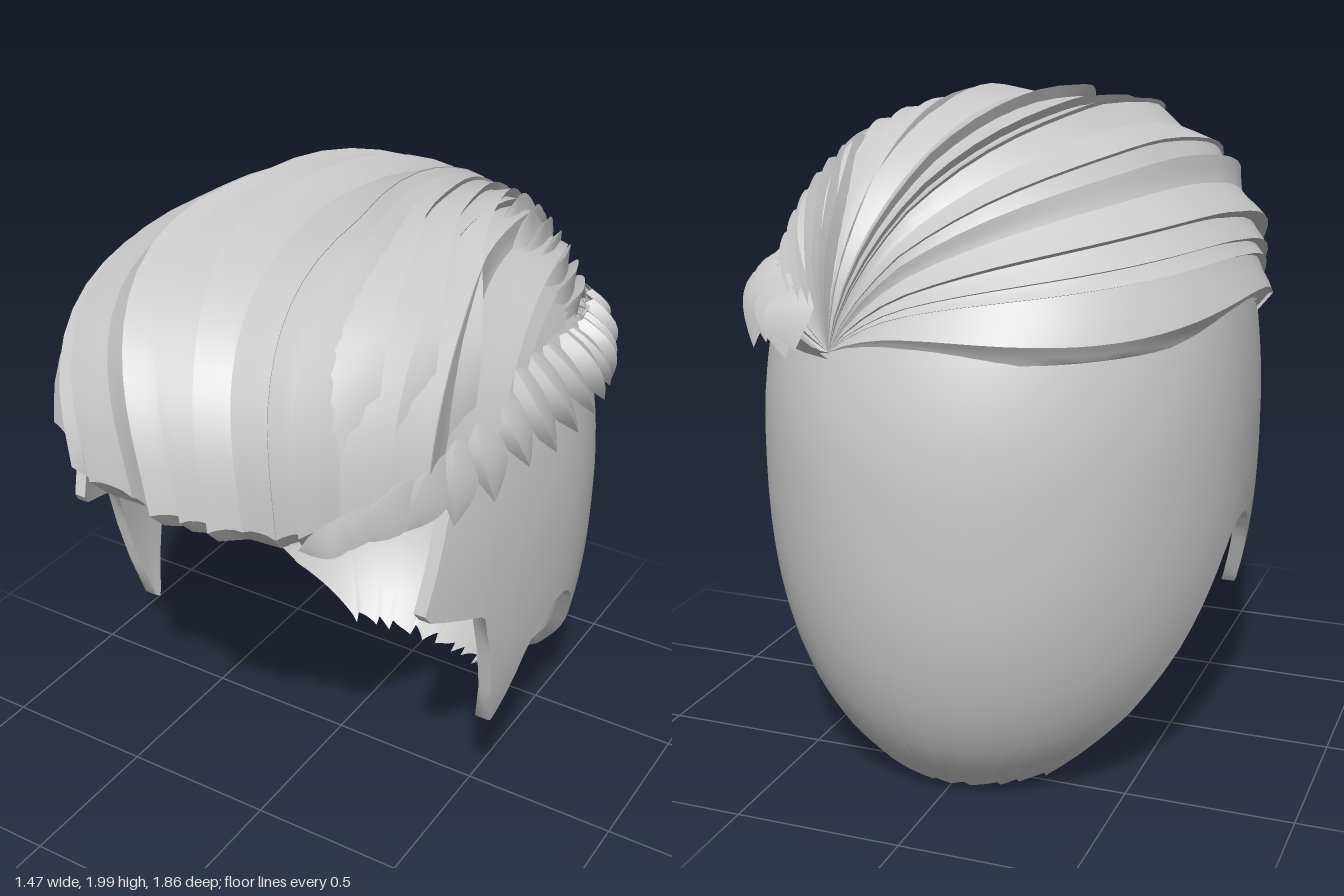
import * as THREE from 'three';
import { toCreasedNormals, mergeGeometries } from 'three/addons/utils/BufferGeometryUtils.js';

const V = (x, y, z) => new THREE.Vector3(x, y, z);
const P = (x, y) => new THREE.Vector2(x, y);
const { lerp, clamp } = THREE.MathUtils;
const hair = new THREE.MeshStandardMaterial({ color: 0xcccccc, side: THREE.DoubleSide });

let seed = 7;
const rand = () => (seed = (seed * 16807) % 2147483647) / 2147483647;

// Skin a list of cross-sections that all have the same number of points
function loft(sections, crease = 0.6) {
  const n = sections[0].length, index = [];
  for (let i = 0; i < sections.length - 1; i++)
    for (let j = 0; j < n - 1; j++) {
      const a = i * n + j, b = a + n;
      index.push(a, b, a + 1, b, b + 1, a + 1);
    }
  const g = new THREE.BufferGeometry().setFromPoints(sections.flat());
  g.setIndex(index);
  return toCreasedNormals(g, crease);
}

function part(name, geometries) {
  const mesh = new THREE.Mesh(mergeGeometries(geometries), hair);
  mesh.name = name;
  return mesh;
}

// Point on the close-cropped egg shape; angle 0 is the back
function eggPoint(angle, y, inset) {
  const over = Math.max(0, y - 1) ** 2;
  const g = y < 1 ? Math.pow(1 - Math.pow((1 - y) / 1.12, 2.6), 0.48) : 1;
  const c = Math.cos(angle);
  const depth = c > 0 ? 0.83 * Math.pow(g, 0.74) * (1 - 0.6 * over) - inset : 1.2;
  return V((0.73 * g * (1 - 0.33 * over) - inset) * Math.sin(angle), y, -0.1 - c * depth);
}

// Cropped back and sides, with ear cut-outs, sideburns and temple points
function croppedSides() {
  const hem = [[0.7, 0.06], [0.75, 0.09], [0.88, 0.17], [1.01, 0.25], [1.2, 0.43], [1.35, 0.61], [1.41, 0.68],
    [1.47, 0.73], [1.53, 0.755], [1.59, 0.76], [1.64, 0.75], [1.69, 0.715], [1.73, 0.65], [1.8, 0.46],
    [1.812, 0.44], [1.83, 0.455], [1.935, 0.92], [1.95, 0.935], [2.13, 1.01], [2.15, 1.04]];
  const half = [];
  for (let i = 0; i < 28; i++) {
    const a = i * 0.025;
    const tooth = (a * 6 + 0.25 * Math.sin(a * 14)) % 1;
    half.push([a, 0.005 + 0.035 * (a / 0.7) ** 2 + 0.03 * Math.abs(tooth)]);
  }
  hem.forEach(([a, y], i) => {
    const next = hem[i + 1];
    for (let k = 0; k < (next ? 3 : 1); k++)
      half.push(next ? [lerp(a, next[0], k / 3), lerp(y, next[1], k / 3)] : [a, y]);
  });
  const columns = [...half.slice(1).reverse().map(([a, y]) => [-a, y]), ...half];
  const rows = 16, top = 1.43;
  const section = ([a, y0], outerInset) => {
    const at = (k, inset) => {
      const f = k / rows;
      const lean = Math.max(0, Math.abs(a) - 1.7) * 0.28 * f;
      return eggPoint(a - Math.sign(a) * lean, lerp(y0, top, f), inset);
    };
    const points = [];
    for (let k = 0; k <= rows; k++) points.push(at(k, outerInset));
    for (let k = rows; k >= 0; k--) points.push(at(k, 0.045));
    points.push(points[0].clone());
    return points;
  };
  const sections = columns.map(c => section(c, 0));
  sections.unshift(section(columns[0], 0.045));
  sections.push(section(columns[columns.length - 1], 0.045));
  return part('croppedSides', [loft(sections, 0.7)]);
}

// Maps a unit disc (u to the left side, v to the front) onto the crown
function dome(u, v, lift = 0) {
  const d = Math.min(1, Math.hypot(u, v)), phi = Math.atan2(u, v);
  const s = Math.sin(phi), c = Math.cos(phi);
  const k = Math.pow(Math.abs(s) ** 2.4 + Math.abs(c) ** 2.4, -1 / 2.4);
  const n = 2.15 + 0.6 * Math.max(0, c), e = d * Math.PI / 2;
  const r = k * Math.pow(Math.sin(e), 2 / n);
  const h = Math.pow(Math.max(0, Math.cos(e)), 2 / n);
  const rim = 1.36 + 0.02 * Math.min(0, c) * d;
  const p = V(0.05 + (s > 0 ? 0.57 : 0.745) * s * r, rim + 0.605 * h, (c > 0 ? 0.89 : 0.86) * c * r);
  return p.addScaledVector(V(p.x - 0.05, p.y - 1.3, p.z).normalize(), lift);
}

// One lock on the crown between two disc curves; it rises to a sharp edge along the second
function strand(curveA, curveB, { base = 0, amp = 0.035, lip = false, tuck = false }) {
  const steps = 26, across = 4, sections = [];
  for (let i = 0; i <= steps; i++) {
    const t = i / steps, a = curveA(t), b = curveB(t);
    let grow = Math.min(1, t * 3.5);
    if (tuck) grow *= Math.min(1, (1 - t) * 7);
    const row = [];
    for (let j = 0; j <= across; j++) {
      const f = j / across;
      row.push(dome(lerp(a.x, b.x, f), lerp(a.y, b.y, f), grow * (base + amp * (f ** 1.3))));
    }
    row.push(dome(b.x, b.y, -0.02));
    if (base) row.unshift(dome(a.x, a.y, -0.02));
    sections.push(row);
  }
  if (lip) {
    // Fold the tip under the rim
    const last = sections[steps];
    sections.push(last.map(p => V(0.05 + (p.x - 0.05) * 0.94, 1.305, p.z * 0.94)));
    sections.push(last.map(p => V(0.05 + (p.x - 0.05) * 0.86, 1.315, p.z * 0.86)));
  }
  return loft(sections);
}

const whorlAngle = Math.PI - 0.36;
const whorl = P(Math.sin(whorlAngle), Math.cos(whorlAngle));
const bend = (...points) => {
  const curve = points.length === 3
    ? new THREE.QuadraticBezierCurve(...points) : new THREE.CubicBezierCurve(...points);
  return t => curve.getPoint(t);
};

// Long locks swept from the whorl, bowing out to the right side, then straight down the front
function sweptTop() {
  const count = 30, edges = [];
  for (let i = 0; i <= count; i++) {
    const jitter = i > 0 && i < count ? (rand() - 0.5) * 0.7 : 0;
    const f = (i + jitter) / count;
    const phi = lerp(-1.35, whorlAngle, f);
    const end = P(Math.sin(phi), Math.cos(phi));
    const middle = (whorlAngle - Math.PI * 2 + phi) / 2;
    const bow = P(Math.sin(middle), Math.cos(middle)).multiplyScalar(1.55);
    const control = whorl.clone().add(end).multiplyScalar(0.5).lerp(bow, Math.max(0, 1 - f / 0.68));
    const inward = end.clone().multiplyScalar(0.5);
    inward.x -= 0.1;
    const straighten = 0.75 * Math.min(1, f / 0.3) * (1 - f);
    edges.push(bend(whorl, whorl.clone().lerp(control, 2 / 3),
      end.clone().lerp(control, 2 / 3).lerp(inward, straighten), end));
  }
  const locks = [];
  for (let i = 0; i < count; i++) {
    const f = i / count, flip = rand() < 0.4;
    const amp = (0.018 + 0.03 * rand()) * (f > 0.6 ? 0.3 : 1);
    locks.push(strand(edges[flip ? i + 1 : i], edges[flip ? i : i + 1], { amp, lip: true }));
  }
  return part('sweptTop', locks);
}

// Short curved locks fanning out of the whorl below the parting
function whorlFan() {
  const count = 8, edges = [];
  for (let i = 0; i <= count; i++) {
    const f = i / count;
    const end = P(lerp(0.38, 0.82, f), lerp(-0.16, -0.4, f) + 0.06 * Math.sin(f * Math.PI));
    const control = P(lerp(0.17, 0.66, f), lerp(-0.5, -0.74, f));
    edges.push(bend(whorl, control, end));
  }
  return part('whorlFan', edges.slice(1).map((e, i) =>
    strand(e, edges[i], { base: 0.012, amp: 0.038, tuck: true })));
}

// Raised locks along the parting, overhanging the fan
function partingLocks() {
  const start = P(0.3, -0.84);
  const curve = f => bend(start, P(lerp(-0.16, 0.05, f), lerp(-0.2, -0.12, f)),
    P(lerp(0.5, 0.86, f), lerp(0.7, 0.3, f)));
  const locks = [0, 1, 2].map(i =>
    strand(curve(i / 3), curve((i + 1) / 3), { base: 0.008, amp: 0.02 + i * 0.008, tuck: true }));
  return part('partingLocks', locks);
}

// Inner lining of the crown
function lining() {
  const sections = [];
  for (let i = 0; i <= 48; i++) {
    const a = i / 48 * Math.PI * 2, row = [];
    for (let j = 0; j <= 12; j++) {
      const d = j / 12;
      const p = dome(Math.sin(a) * d, Math.cos(a) * d);
      row.push(V(0.05 + (p.x - 0.05) * 0.9, 1.33 + (p.y - 1.36) * 0.93, p.z * 0.9));
    }
    sections.push(row);
  }
  return part('lining', [loft(sections, 1.2)]);
}

// Row of leaf-shaped locks along the left side, over a backing strip
function sideFringe() {
  const top = new THREE.CatmullRomCurve3([V(0.46, 1.36, 0.73), V(0.56, 1.42, 0.5), V(0.58, 1.52, 0.25),
    V(0.58, 1.57, 0), V(0.59, 1.56, -0.25), V(0.57, 1.53, -0.45), V(0.5, 1.53, -0.64), V(0.34, 1.48, -0.81)]);
  const bottom = new THREE.CatmullRomCurve3([V(0.36, 1.3, 0.8), V(0.58, 1.3, 0.57), V(0.69, 1.33, 0.3),
    V(0.725, 1.33, 0), V(0.725, 1.32, -0.25), V(0.69, 1.31, -0.45), V(0.58, 1.31, -0.66), V(0.34, 1.33, -0.86)]);
  const backing = [];
  for (let i = 0; i <= 40; i++) {
    const a = top.getPoint(i / 40), b = bottom.getPoint(i / 40);
    backing.push([a, b.clone().lerp(a, 0.35), b.clone().setX(b.x - 0.1)]);
  }
  const pieces = [loft(backing)];
  const count = 18;
  for (let i = 0; i < count; i++) {
    const u = (i + 0.5) / count;
    const root = top.getPoint(clamp(u + (rand() - 0.5) * 0.02, 0, 1));
    const lean = lerp(-0.13, 0.055, clamp(u * 1.8, 0, 1));
    const tip = bottom.getPoint(clamp(u + lean, 0, 1));
    tip.y += (rand() - 0.4) * 0.05;
    const out = V(root.x, 0.3, root.z * 0.8).normalize();
    const mid = root.clone().lerp(tip, 0.45).addScaledVector(out, 0.06);
    mid.z += 0.03;
    const spine = new THREE.QuadraticBezierCurve3(root, mid, tip);
    const side = tip.clone().sub(root).cross(out).normalize();
    const size = lerp(0.045, 0.07, clamp(u * 3, 0, 1)) + 0.02 * rand(), sections = [];
    for (let k = 0; k <= 8; k++) {
      const t = k / 8, p = spine.getPoint(t);
      const w = size * Math.sin(Math.PI * (0.14 + 0.86 * t));
      const at = (s, o) => p.clone().addScaledVector(side, s * w).addScaledVector(out, o * w);
      sections.push([at(-1, -0.25), at(-0.1, 0.2), at(0.75, 0.4), at(0.85, -0.4), at(-1, -0.25)]);
    }
    pieces.push(loft(sections, 0.5));
  }
  return part('sideFringe', pieces);
}

export function createModel() {
  const group = new THREE.Group();
  group.name = 'hairpiece';
  group.add(croppedSides(), sweptTop(), whorlFan(), partingLocks(), lining(), sideFringe());
  return group;
}
